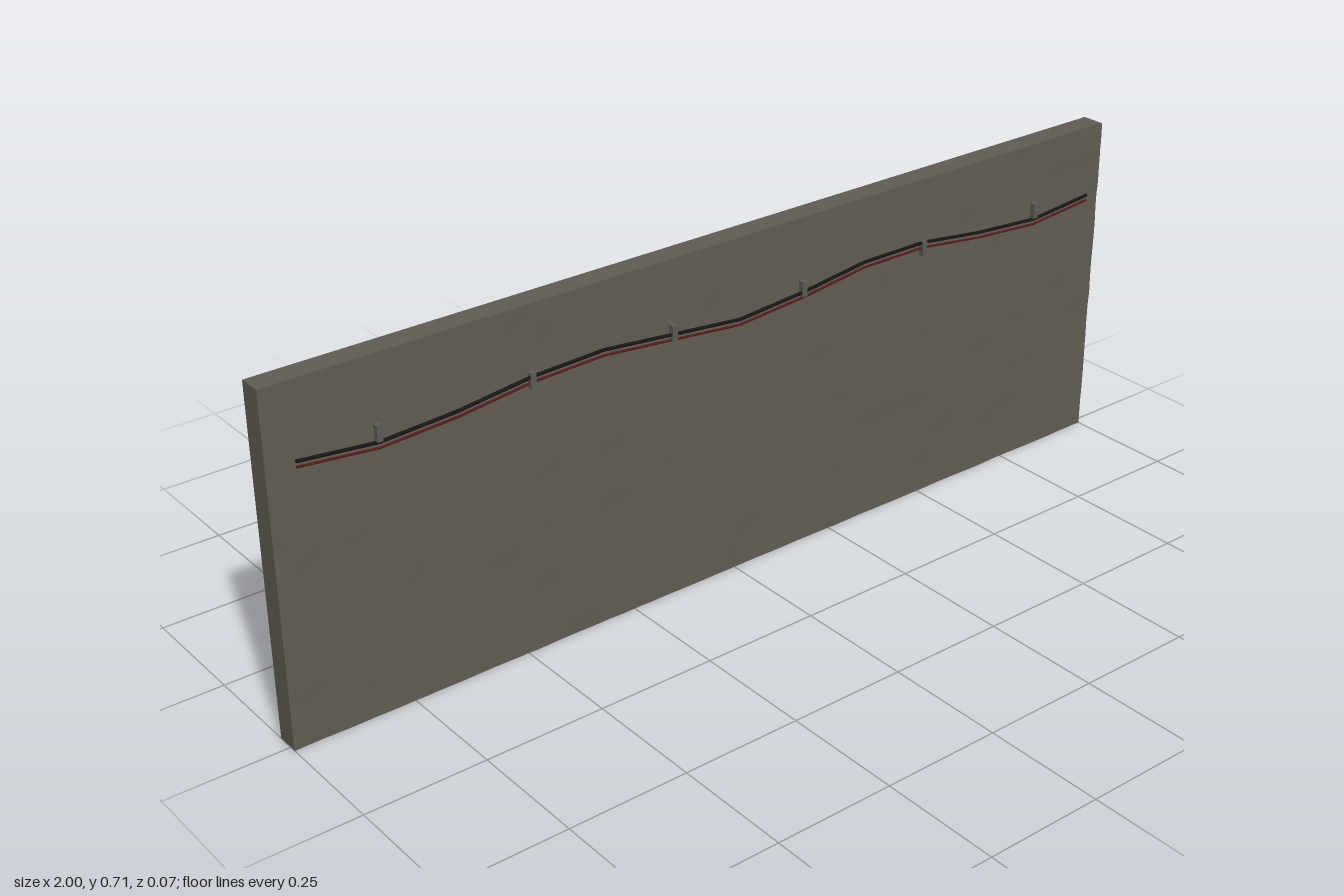
import * as THREE from 'three';

const flat = (name, color) => {
  const m = new THREE.MeshStandardMaterial({ color });
  m.name = name;
  return m;
};

// Smooth value noise on an integer lattice
const hash = (i, j) => {
  const s = Math.sin(i * 127.1 + j * 311.7) * 43758.5453;
  return s - Math.floor(s);
};
function noise(x, y) {
  const i = Math.floor(x), j = Math.floor(y);
  const u = THREE.MathUtils.smoothstep(x - i, 0, 1);
  const v = THREE.MathUtils.smoothstep(y - j, 0, 1);
  const mix = THREE.MathUtils.lerp;
  return mix(mix(hash(i, j), hash(i + 1, j), u), mix(hash(i, j + 1), hash(i + 1, j + 1), u), v) - 0.5;
}

export function createModel() {
  const model = new THREE.Group();
  model.name = 'wallPanelWithCables';
  const stone = flat('rock grey', 0x625d53);
  const black = flat('cable black', 0x161616);
  const red = flat('cable red', 0x5a1a18);
  const metal = flat('clip grey', 0x5c5d57);

  const add = (parent, name, geometry, material, x = 0, y = 0, z = 0) => {
    const mesh = new THREE.Mesh(geometry, material);
    mesh.name = name;
    mesh.position.set(x, y, z);
    parent.add(mesh);
    return mesh;
  };

  // Slab
  const W = 2, H = 0.715;
  add(model, 'wallSlab', new THREE.BoxGeometry(W, H, 0.048), stone, 0, H / 2, -0.011);

  // Rough front skin, slightly uneven
  const skin = new THREE.PlaneGeometry(W, H, 96, 36);
  const p = skin.attributes.position;
  for (let i = 0; i < p.count; i++) {
    const x = p.getX(i), y = p.getY(i);
    p.setZ(i, 0.0022 * noise(x * 18 + 40, y * 26 + 40) + 0.0012 * noise(x * 44 + 90, y * 48 + 70));
  }
  skin.computeVertexNormals();
  add(model, 'roughFace', skin, stone, 0, H / 2, 0.0148);

  // Two sagging cables made of straight runs
  const heights = [0.573, 0.556, 0.564, 0.582, 0.587, 0.571, 0.555, 0.567, 0.587, 0.587, 0.567, 0.555, 0.569];
  const step = 1.9 / 12;
  const cable = (name, material, radius, drop) => {
    const path = new THREE.CurvePath();
    const pts = heights.map((y, i) => new THREE.Vector3(-0.95 + i * step, y - drop, 0.03));
    const group = new THREE.Group();
    group.name = name;
    for (let i = 0; i < 12; i++) {
      const run = new THREE.LineCurve3(pts[i], pts[i + 1]);
      path.add(run);
      const mesh = add(group, name + 'Run', new THREE.CylinderGeometry(radius, radius, run.getLength(), 8), material);
      mesh.position.copy(run.getPoint(0.5));
      mesh.quaternion.setFromUnitVectors(new THREE.Vector3(0, 1, 0), run.getTangent(0));
    }
    model.add(group);
  };
  cable('blackCable', black, 0.0035, 0);
  cable('redCable', red, 0.0025, 0.011);

  // Clips holding the cables
  for (let i = 0; i < 6; i++) {
    add(model, 'cableClip', new THREE.BoxGeometry(0.011, 0.032, 0.012), metal, -0.792 + i * 0.3167, 0.575, 0.03);
  }
  return model;
}
